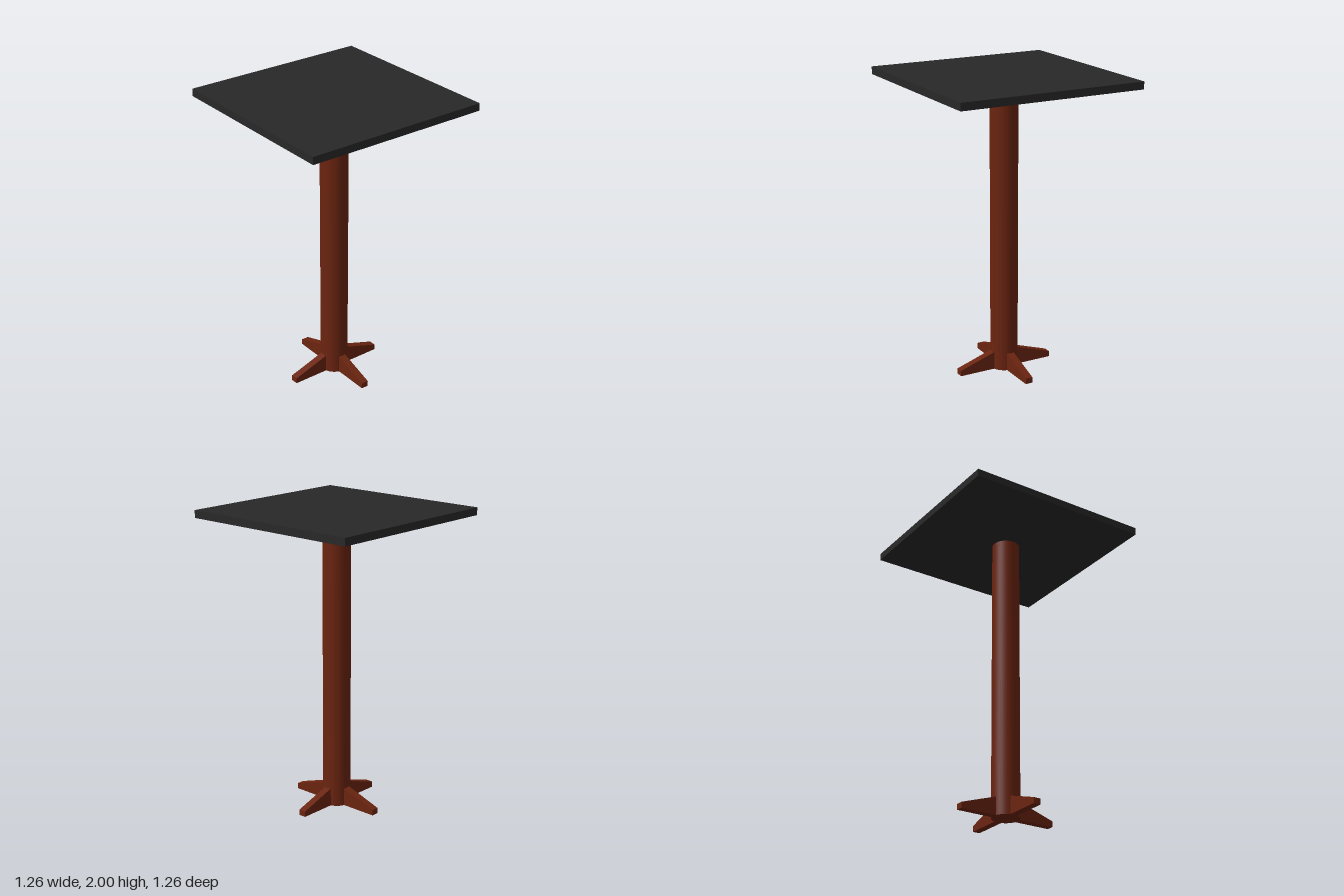
import * as THREE from 'three';

export function createModel() {
  const model = new THREE.Group();
  model.name = 'pedestalTable';
  const wood = new THREE.MeshStandardMaterial({ color: 0x6b2410 });
  const dark = new THREE.MeshStandardMaterial({ color: 0x282828 });

  const add = (name, geometry, material, y = 0) => {
    const mesh = new THREE.Mesh(geometry, material);
    mesh.name = name;
    mesh.position.y = y;
    model.add(mesh);
    return mesh;
  };

  // Square top and round column
  const topThickness = 0.05, columnHeight = 1.95, radius = 0.092;
  add('tableTop', new THREE.BoxGeometry(1.264, topThickness, 1.264), dark, columnHeight + topThickness / 2);
  add('column', new THREE.CylinderGeometry(radius, radius, columnHeight, 48), wood, columnHeight / 2);

  // Tapered foot, its inner end sunk slightly into the column
  const footWidth = 0.05, inner = 0.08, outer = 0.34;
  const profile = new THREE.Shape([
    new THREE.Vector2(inner, 0),
    new THREE.Vector2(outer, 0),
    new THREE.Vector2(outer, 0.038),
    new THREE.Vector2(radius, 0.12),
    new THREE.Vector2(inner, 0.12),
  ]);
  const footGeometry = new THREE.ExtrudeGeometry(profile, { depth: footWidth, bevelEnabled: false });
  footGeometry.translate(0, 0, -footWidth / 2);

  // Four feet in a cross
  ['leftFoot', 'backFoot', 'rightFoot', 'frontFoot'].forEach((name, i) => {
    add(name, footGeometry, wood).rotation.y = i * Math.PI / 2;
  });

  return model;
}
